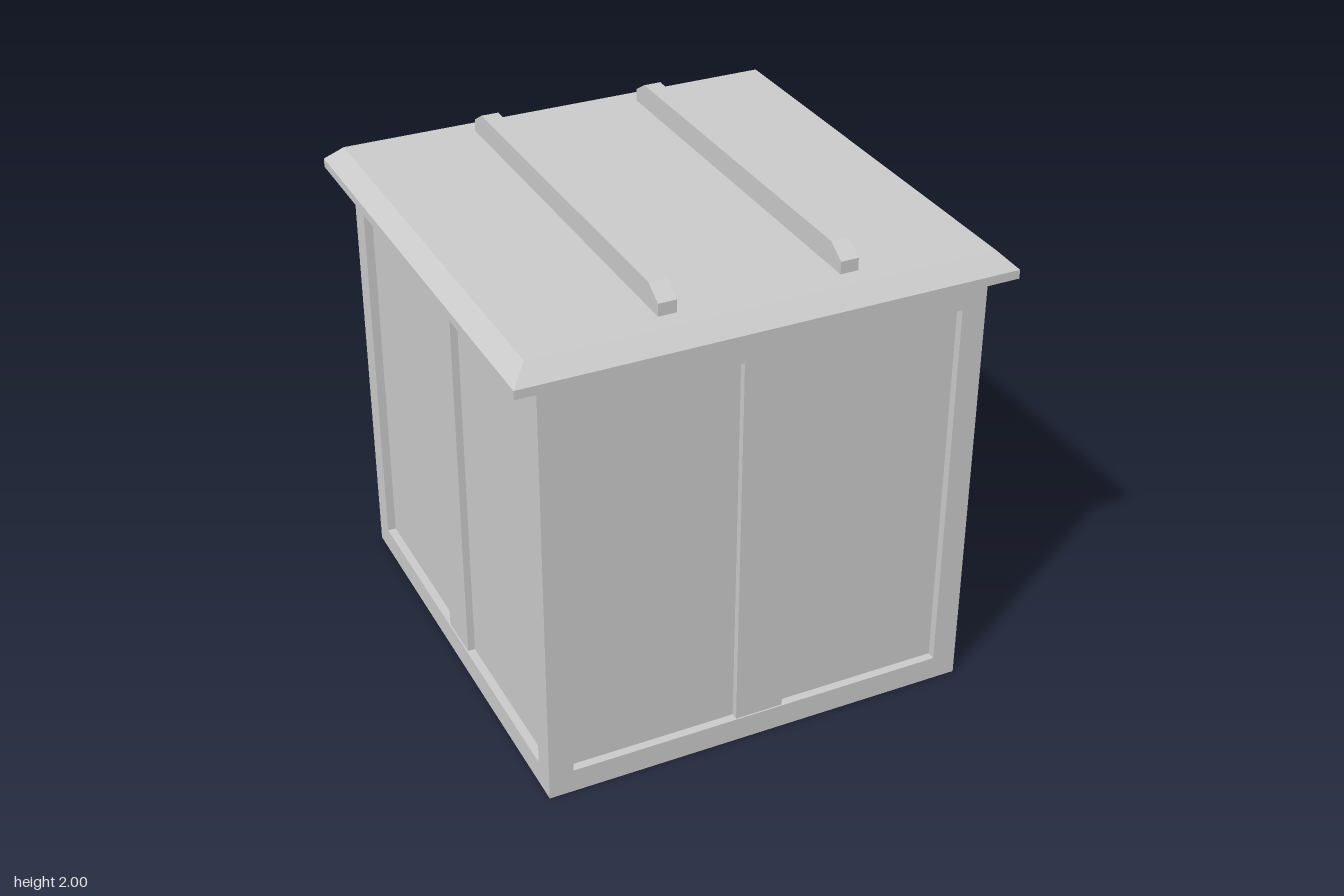
import * as THREE from 'three';

const material = new THREE.MeshStandardMaterial({ color: 0xcccccc, flatShading: true });

// Flat-faced skin through a stack of rectangles [halfWidth, halfHeight, z]; a zero-size one closes an end.
function rectSkin(loops) {
  const corners = ([w, h, z]) => [[-w, -h, z], [w, -h, z], [w, h, z], [-w, h, z]];
  const pos = [];
  for (let i = 0; i < loops.length - 1; i++) {
    const a = corners(loops[i]), b = corners(loops[i + 1]);
    for (let k = 0; k < 4; k++) {
      const n = (k + 1) % 4;
      if (loops[i][0] > 0) pos.push(...a[k], ...a[n], ...b[n]);
      if (loops[i + 1][0] > 0) pos.push(...a[k], ...b[n], ...b[k]);
    }
  }
  const g = new THREE.BufferGeometry();
  g.setAttribute('position', new THREE.Float32BufferAttribute(pos, 3));
  g.computeVertexNormals();
  return g;
}

function add(parent, name, geometry, x = 0, y = 0, z = 0) {
  const mesh = new THREE.Mesh(geometry, material);
  mesh.name = name;
  mesh.position.set(x, y, z);
  parent.add(mesh);
  return mesh;
}

export function createModel() {
  const model = new THREE.Group();
  model.name = 'crate';

  const X = 0.888, Z = 0.947, H = 1.795, border = 0.1, recess = 0.035;

  // One side of the crate: raised frame, sunken panel and central board
  function side(name, hw, hh, hasBoard = true) {
    const g = new THREE.Group();
    g.name = name;
    const w = hw - border, h = hh - border;
    add(g, name + 'FramedPanel', rectSkin([[hw, hh, 0], [w, h, 0], [w, h, -recess], [0, 0, -recess]]));
    if (hasBoard) add(g, name + 'Board', new THREE.BoxGeometry(0.2, 2 * h, recess - 0.006), 0, 0, -(recess + 0.006) / 2);
    model.add(g);
    return g;
  }

  side('front', X, H / 2).position.set(0, H / 2, Z);
  const back = side('back', X, H / 2);
  back.position.set(0, H / 2, -Z);
  back.rotation.y = Math.PI;
  for (const [name, s] of [['left', 1], ['right', -1]]) {
    const g = side(name, Z, H / 2);
    g.position.set(s * X, H / 2, 0);
    g.rotation.y = s * Math.PI / 2;
  }
  side('bottom', X, Z).rotation.x = Math.PI / 2;
  const top = side('top', X, Z, false);
  top.position.y = H;
  top.rotation.x = -Math.PI / 2;

  // Lid with bevelled upper edge
  const LX = 0.988, LZ = 0.997, bevel = 0.066;
  add(model, 'lid', rectSkin([
    [0, 0, 0], [LX, LZ, 0], [LX, LZ, 0.036],
    [LX - bevel, LZ - bevel, 0.1], [0, 0, 0.1],
  ]), 0, 1.803, 0).rotation.x = -Math.PI / 2;

  // Runners on top of the lid, with chamfered ends
  const profile = new THREE.Shape([
    [-0.852, 0], [0.852, 0], [0.852, 0.053], [0.775, 0.1], [-0.775, 0.1], [-0.852, 0.053],
  ].map(([z, y]) => new THREE.Vector2(z, y)));
  const runner = new THREE.ExtrudeGeometry(profile, { depth: 0.072, bevelEnabled: false });
  runner.translate(0, 0, -0.036).rotateY(Math.PI / 2);

  // Battens under the lid, holding it just clear of the crate
  const batten = new THREE.BoxGeometry(0.11, 0.04, 1.694);
  for (const [name, s] of [['left', 1], ['right', -1]]) {
    add(model, name + 'Runner', runner, s * 0.358, 1.9, 0);
    add(model, name + 'LidBatten', batten, s * 0.543, 1.784, 0);
  }
  return model;
}
